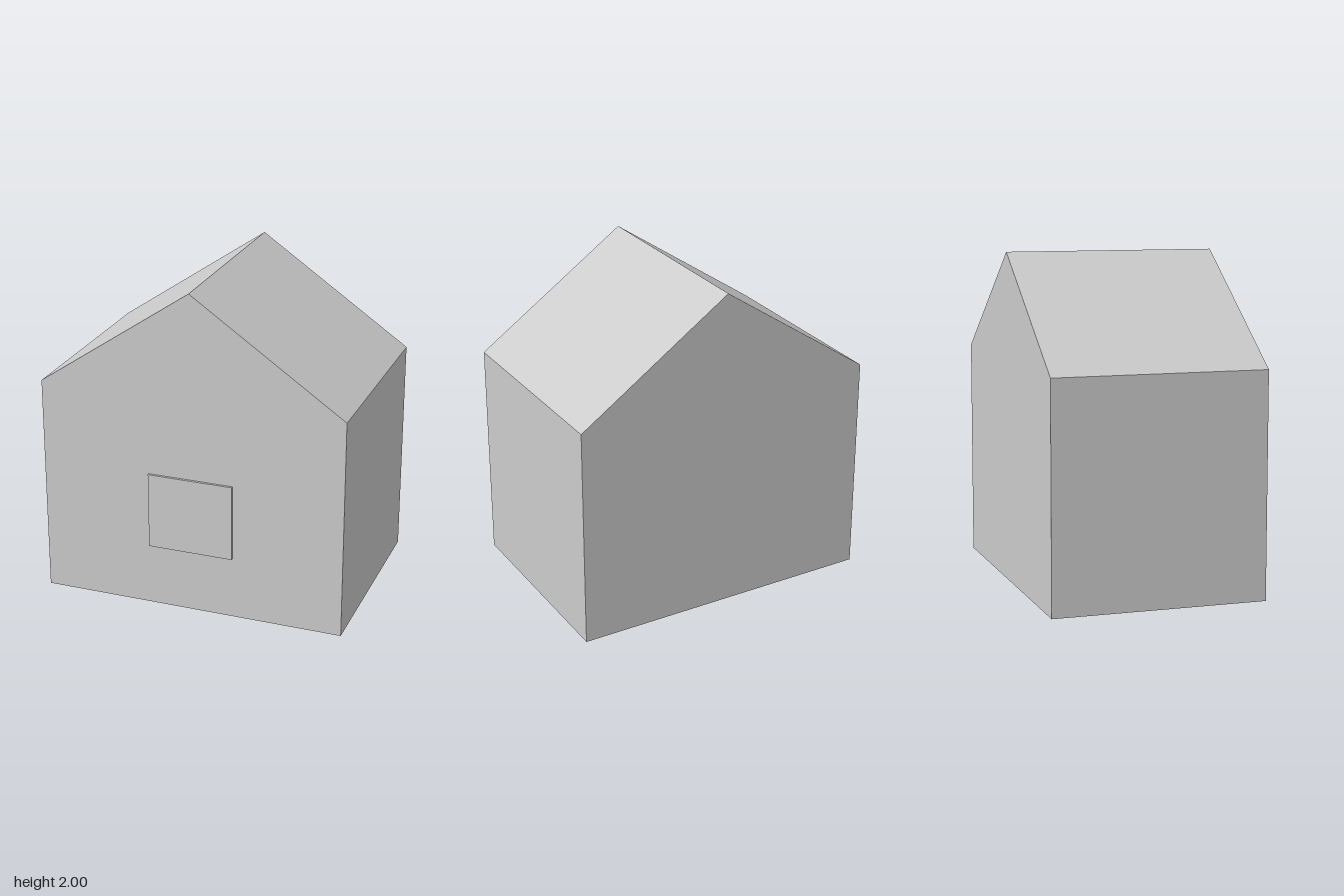
import * as THREE from 'three';

export function createModel() {
  const group = new THREE.Group();
  const material = new THREE.MeshStandardMaterial({ color: 0xcccccc, flatShading: true });
  const halfWidth = 0.94, eaves = 1.355, ridge = 2, back = -0.655, front = 0.64;

  // House body: gabled outline extruded from back to front
  const outline = new THREE.Shape([
    new THREE.Vector2(-halfWidth, 0),
    new THREE.Vector2(halfWidth, 0),
    new THREE.Vector2(halfWidth, eaves),
    new THREE.Vector2(0, ridge),
    new THREE.Vector2(-halfWidth, eaves),
  ]);
  const body = new THREE.Mesh(
    new THREE.ExtrudeGeometry(outline, { depth: front - back, bevelEnabled: false }),
    material
  );
  body.name = 'houseBody';
  body.position.z = back;
  group.add(body);

  // Thin panel on the front wall
  const depth = 0.015;
  const panel = new THREE.Mesh(new THREE.BoxGeometry(0.526, 0.47, depth), material);
  panel.name = 'frontPanel';
  panel.position.set(0, 0.62, front + depth / 2);
  group.add(panel);

  return group;
}
